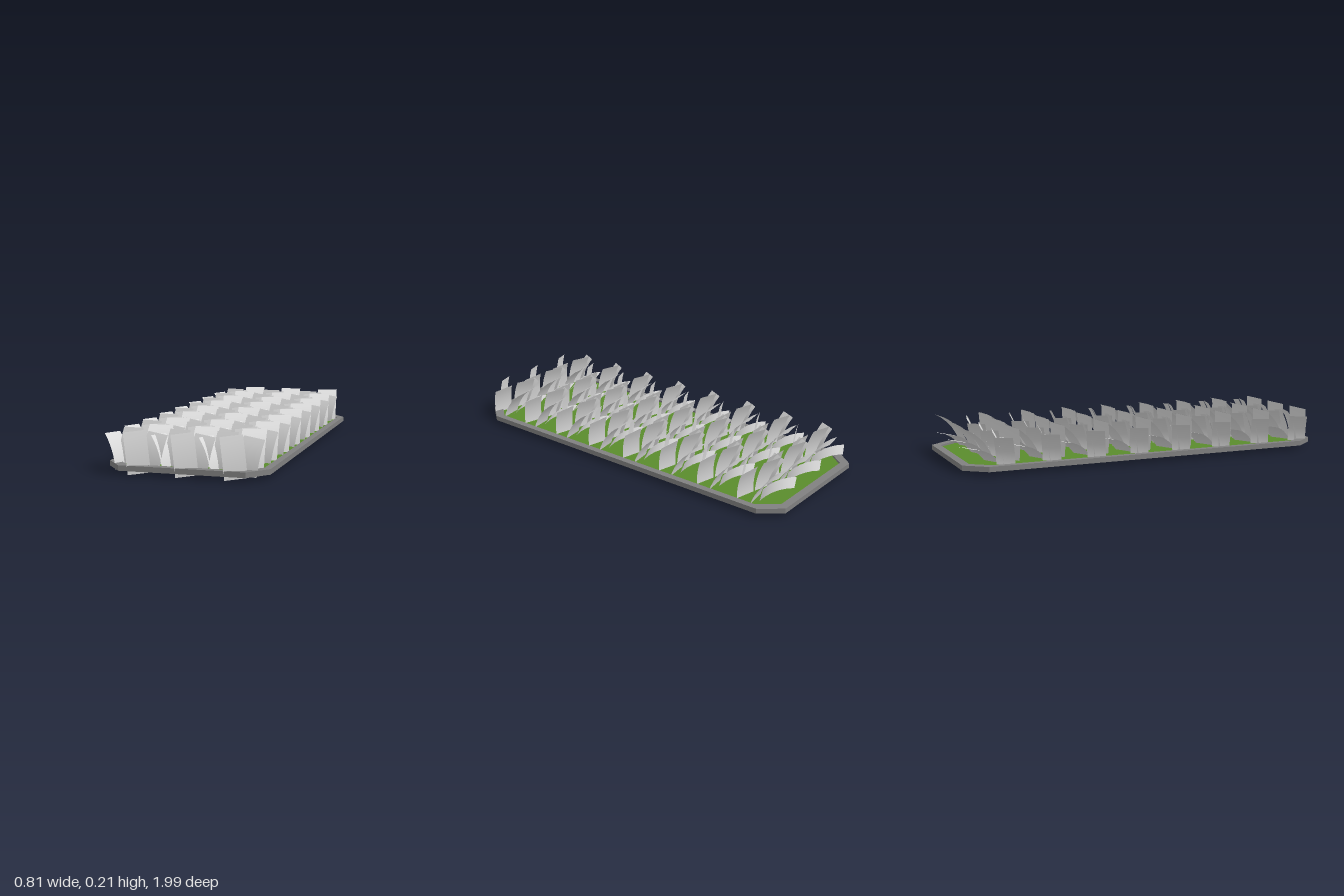
import * as THREE from 'three';

const frameMat = new THREE.MeshStandardMaterial({ name: 'stone grey', color: 0x808080 });
const soilMat = new THREE.MeshStandardMaterial({ name: 'grass green', color: 0x5a8c2c });
const leafMat = new THREE.MeshStandardMaterial({ name: 'pale grey', color: 0xdcdcdc, side: THREE.DoubleSide });

// Rectangle outline with cut corners
function octagon(Type, hx, hz, cx, cz) {
  return new Type([
    [hx, -hz + cz], [hx, hz - cz], [hx - cx, hz], [-hx + cx, hz],
    [-hx, hz - cz], [-hx, -hz + cz], [-hx + cx, -hz], [hx - cx, -hz],
  ].map(([x, y]) => new THREE.Vector2(x, y)));
}

// Flat slab lying on the ground plane, from y to y + height
function slab(name, shape, y, height, material) {
  const geo = new THREE.ExtrudeGeometry(shape, { depth: height, bevelEnabled: false });
  geo.rotateX(-Math.PI / 2);
  const mesh = new THREE.Mesh(geo, material);
  mesh.name = name;
  mesh.position.set(0.008, y, 0.004);
  return mesh;
}

// Strip that starts at the origin and arcs backwards as it rises
function leafGeometry({ w, len, bend: [b0, b1], yaw, roll }) {
  const rows = 6;
  const geo = new THREE.PlaneGeometry(w, len, 1, rows);
  const pos = geo.attributes.position;
  const steps = 24;
  for (let i = 0; i < pos.count; i++) {
    const t = pos.getY(i) / len + 0.5;
    let y = 0, z = 0;
    for (let s = 0; s < steps; s++) {
      const a = b0 + (b1 - b0) * t * (s + 0.5) / steps;
      y += Math.cos(a) * len * t / steps;
      z -= Math.sin(a) * len * t / steps;
    }
    pos.setY(i, y);
    pos.setZ(i, z);
  }
  geo.rotateZ(roll);
  geo.rotateY(yaw);
  geo.computeVertexNormals();
  return geo;
}

// Leaves of one tuft; positions are measured from the tuft centre
const leaves = [
  { name: 'frontLeaf', x: 0.03, y: 0.008, z: 0.132, w: 0.108, len: 0.202, bend: [-0.1, 0.22], yaw: 0.42, roll: 0.1 },
  { name: 'middleLeftLeaf', x: -0.052, y: 0.017, z: 0.065, w: 0.115, len: 0.2, bend: [0, 0.55], yaw: -0.25, roll: 0.02 },
  { name: 'middleRightLeaf', x: 0.066, y: 0.02, z: 0.092, w: 0.11, len: 0.18, bend: [0, 0.5], yaw: -0.22, roll: -0.12 },
  { name: 'sideLeaf', x: -0.077, y: 0.018, z: 0.07, w: 0.095, len: 0.185, bend: [0.1, 0.75], yaw: 1.1, roll: 0 },
  { name: 'backRightLeaf', x: 0.074, y: 0.015, z: 0.035, w: 0.118, len: 0.25, bend: [0.2, 1.1], yaw: 0.15, roll: 0 },
  { name: 'backLeftLeaf', x: 0.03, y: 0.018, z: 0.042, w: 0.12, len: 0.215, bend: [0.6, 1.45], yaw: 0.45, roll: 0 },
];

export function createModel() {
  const model = new THREE.Group();
  model.name = 'plantBed';

  // Border with cut corners around a thin ground slab
  const border = octagon(THREE.Shape, 0.397, 0.996, 0.088, 0.11);
  border.holes.push(octagon(THREE.Path, 0.362, 0.955, 0.078, 0.098));
  model.add(slab('border', border, 0.022, 0.026, frameMat));
  model.add(slab('ground', octagon(THREE.Shape, 0.364, 0.957, 0.078, 0.098), 0.034, 0.004, soilMat));

  // Three by eight identical tufts
  const parts = leaves.map((leaf) => ({ ...leaf, geo: leafGeometry(leaf) }));
  for (let row = 0; row < 8; row++) {
    for (let col = 0; col < 3; col++) {
      const tuft = new THREE.Group();
      tuft.name = 'tuft';
      tuft.position.set((col - 1) * 0.235, 0, 0.843 - row * 0.241);
      for (const { name, x, y, z, geo } of parts) {
        const mesh = new THREE.Mesh(geo, leafMat);
        mesh.name = name;
        mesh.position.set(x, y, z);
        tuft.add(mesh);
      }
      model.add(tuft);
    }
  }
  return model;
}
